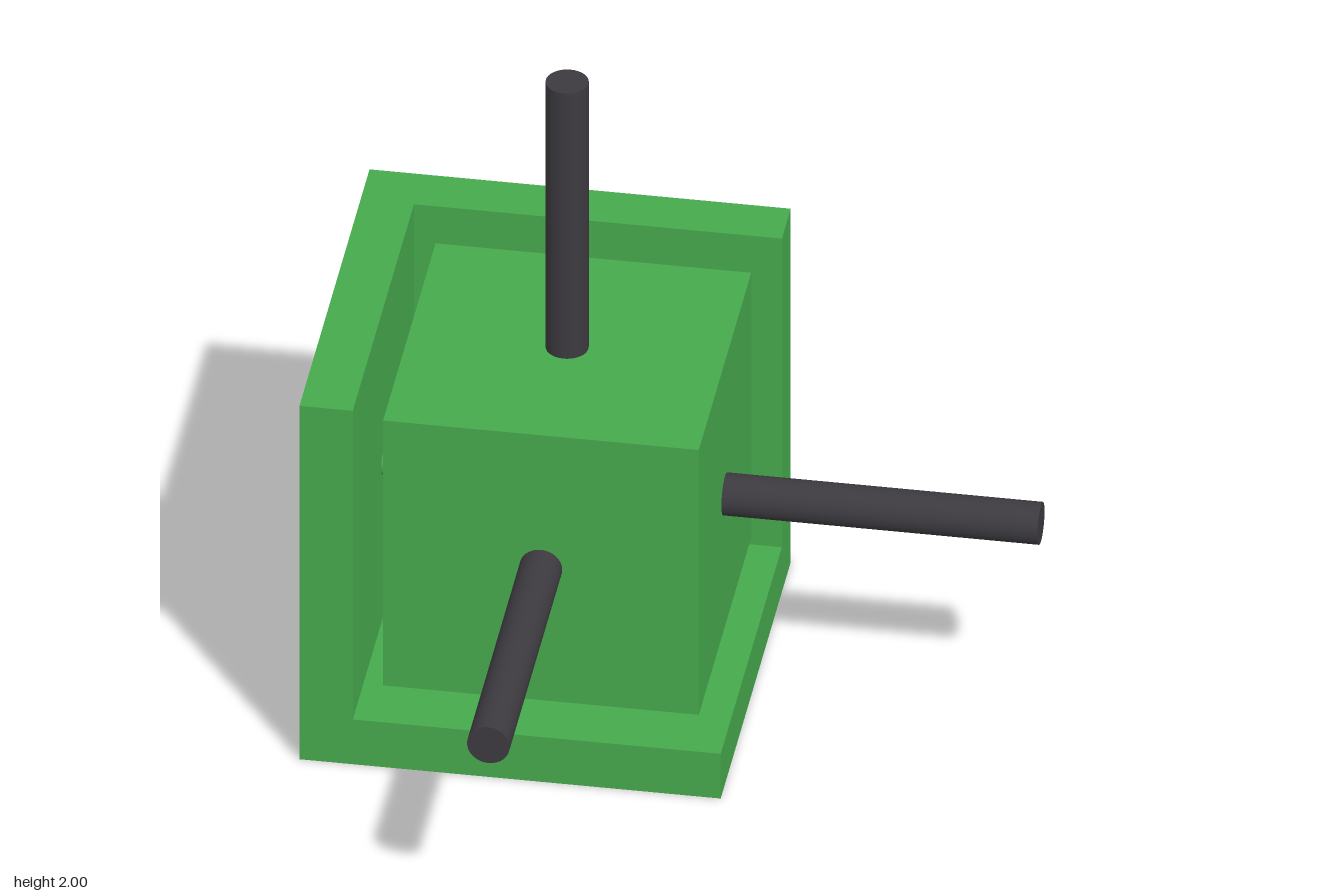
import * as THREE from 'three';
import { mergeGeometries } from 'three/addons/utils/BufferGeometryUtils.js';

const OUTER = 1.185; // tray side
const WALL = 0.15; // tray wall thickness
const PEG = 0.073; // peg height, gap between tray and cube
const CUBE = 0.888;
const MID = WALL + PEG + CUBE / 2;

// Turn about the (1,1,1) diagonal: x -> y -> z -> x
const turn = (k) => new THREE.Quaternion().setFromAxisAngle(
  new THREE.Vector3(1, 1, 1).normalize(), (k * Math.PI * 2) / 3);

const polygon = (points) => new THREE.ShapeGeometry(
  new THREE.Shape(points.map(([x, y]) => new THREE.Vector2(x, y))));

// Corner tray: outer square, inner square and L-shaped rim, repeated on three axes
function trayGeometry() {
  const parts = [];
  for (let k = 0; k < 3; k++) {
    const outer = new THREE.PlaneGeometry(OUTER, OUTER).rotateY(Math.PI)
      .translate(OUTER / 2, OUTER / 2, 0).toNonIndexed();
    const inner = polygon([[WALL, WALL], [OUTER, WALL], [OUTER, OUTER], [WALL, OUTER]])
      .translate(0, 0, WALL).toNonIndexed();
    const rim = polygon([[0, 0], [OUTER, 0], [OUTER, WALL], [WALL, WALL], [WALL, OUTER], [0, OUTER]])
      .translate(0, 0, OUTER).toNonIndexed();
    parts.push(...[outer, inner, rim].map((g) => g.applyQuaternion(turn(k))));
  }
  return mergeGeometries(parts);
}

export function createModel() {
  const green = new THREE.MeshStandardMaterial({ color: 0x46a94d });
  green.name = 'green';
  const charcoal = new THREE.MeshStandardMaterial({ color: 0x3c3a3f });
  charcoal.name = 'charcoal';

  const model = new THREE.Group();
  model.name = 'locatingFixture';
  const body = new THREE.Group();
  body.name = 'fixtureBody';
  body.position.set(-1, 0, -1);
  model.add(body);

  const add = (name, geometry, material, parent = body) => {
    const mesh = new THREE.Mesh(geometry, material);
    mesh.name = name;
    parent.add(mesh);
    return mesh;
  };

  add('cornerTray', trayGeometry(), green);
  add('cube', new THREE.BoxGeometry(CUBE, CUBE, CUBE), green).position.setScalar(MID);

  // One rod out of each free face of the cube
  const rodStart = MID + CUBE / 2;
  const rodLength = 2 - rodStart;
  const rodGeometry = new THREE.CylinderGeometry(0.06, 0.06, rodLength, 32)
    .translate(MID, rodStart + rodLength / 2, MID);
  ['topRod', 'frontRod', 'leftRod'].forEach((name, k) => {
    add(name, rodGeometry, charcoal).quaternion.copy(turn(k));
  });

  // Tapered support pegs: three on the floor, two on the back wall, one on the side wall
  const pegGeometry = new THREE.LatheGeometry(
    [[0.036, 0], [0.036, 0.038], [0.033, 0.05], [0.021, PEG], [0, PEG]]
      .map(([r, y]) => new THREE.Vector2(r, y)), 24);
  const lo = MID - 0.26, hi = MID + 0.26;
  const pegs = [
    ['floorPeg', 0, [[lo, lo], [lo, hi], [hi, MID]]],
    ['backPeg', 1, [[MID, lo], [MID, hi]]],
    ['sidePeg', 2, [[MID, MID]]],
  ];
  for (const [name, k, spots] of pegs) {
    const set = new THREE.Group();
    set.name = name + 's';
    set.quaternion.copy(turn(k));
    body.add(set);
    // Pegs are laid out on a floor plane, then the set is turned to its wall
    for (const [x, z] of spots) add(name, pegGeometry, green, set).position.set(x, WALL, z);
  }
  return model;
}
